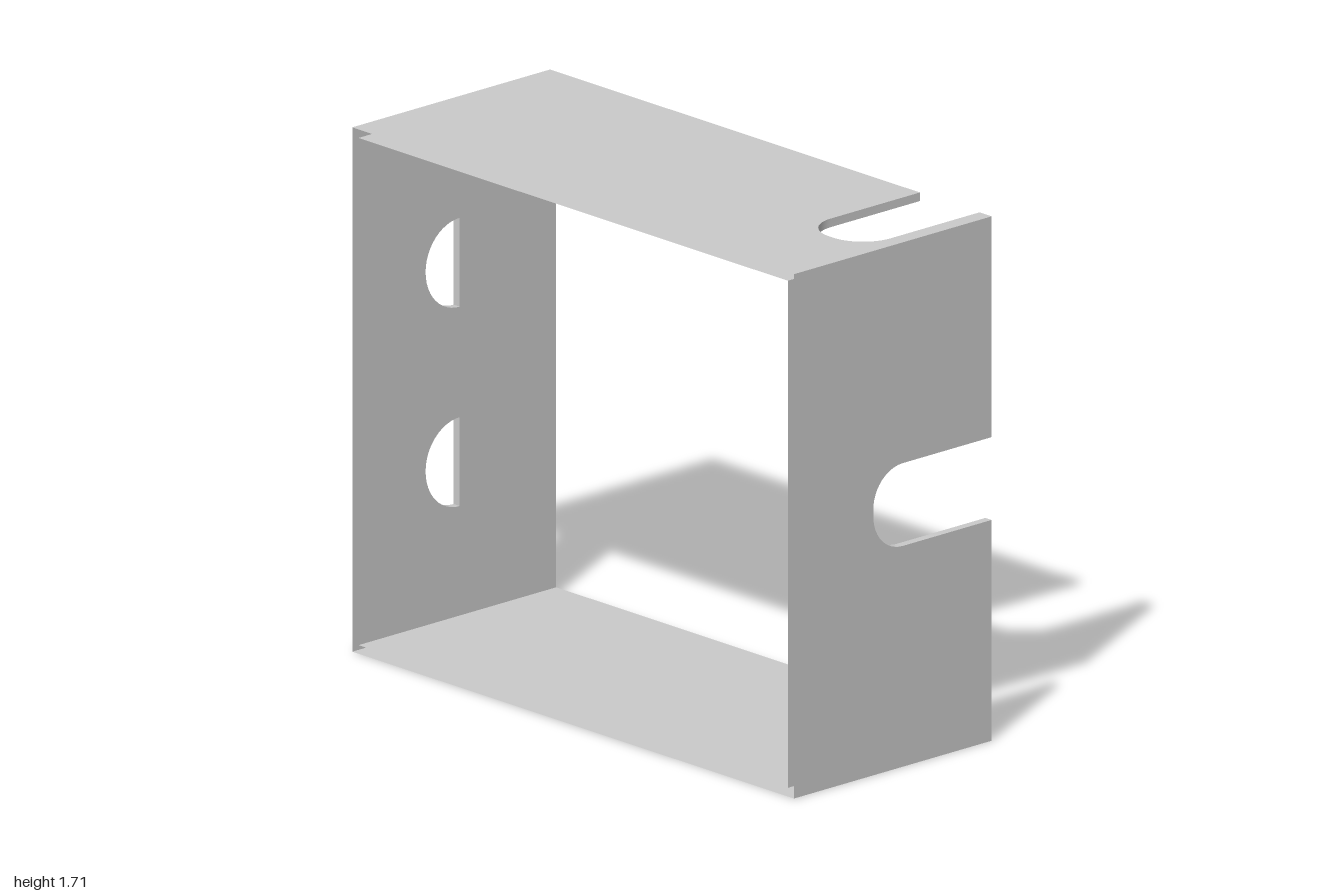
import * as THREE from 'three';
import { mergeGeometries, toCreasedNormals } from 'three/addons/utils/BufferGeometryUtils.js';

const W = 1, H = 1.71, D = 0.42, T = 0.028; // half width, height, half depth, wall gap

const arc = (cu, cw, r, a0, a1, n) => Array.from({ length: n + 1 }, (_, i) => {
  const a = a0 + (a1 - a0) * i / n;
  return new THREE.Vector2(cu + r * Math.cos(a), cw + r * Math.sin(a));
});

// Round-ended slot, open at the back edge
function slotPath(u) {
  const h = 0.135, r = 0.125, end = 0.083;
  return [
    new THREE.Vector2(u - h, -D),
    ...arc(u - h + r, end - r, r, Math.PI, Math.PI / 2, 12),
    ...arc(u + h - r, end - r, r, Math.PI / 2, 0, 12),
    new THREE.Vector2(u + h, -D),
  ];
}

// Half-round hole, flat towards the back
function holePath(u) {
  const p = arc(u, -0.01, 0.145, Math.PI, 0, 24);
  return [...p, p[0].clone()];
}

// One skin of a wall, half length l, at height d along the wall normal
function skin(l, d, slots, holes, flip) {
  const s = new THREE.Shape([
    new THREE.Vector2(-l, -D), ...slots.flat(),
    new THREE.Vector2(l, -D), new THREE.Vector2(l, D), new THREE.Vector2(-l, D),
  ]);
  s.holes = holes.map((h) => new THREE.Path(h.slice(0, -1)));
  const g = new THREE.ShapeGeometry(s);
  if (flip) {
    g.setIndex(Array.from(g.index.array).reverse());
    g.computeVertexNormals();
  }
  g.deleteAttribute('uv');
  return g.translate(0, 0, d).toNonIndexed();
}

// Strip joining the two skins along a cut
function cutWall(path, d) {
  const pos = [];
  for (let i = 0; i < path.length - 1; i++) {
    const a = path[i], b = path[i + 1];
    pos.push(a.x, a.y, d - T, b.x, b.y, d - T, b.x, b.y, d);
    pos.push(a.x, a.y, d - T, b.x, b.y, d, a.x, a.y, d);
  }
  const g = new THREE.BufferGeometry();
  g.setAttribute('position', new THREE.Float32BufferAttribute(pos, 3));
  g.computeVertexNormals();
  return toCreasedNormals(g, 0.6);
}

export function createModel() {
  const group = new THREE.Group();
  const material = new THREE.MeshStandardMaterial({ color: 0xcccccc, side: THREE.DoubleSide });

  // Double-skinned wall, open at the front and back rims
  function addWall(name, uDir, l, d, slots = [], holes = []) {
    const g = mergeGeometries([
      skin(l, d, slots, holes, false),
      skin(l - T, d - T, slots, holes, true),
      ...[...slots, ...holes].map((p) => cutWall(p, d)),
    ]);
    const z = new THREE.Vector3(0, 0, 1);
    g.applyMatrix4(new THREE.Matrix4().makeBasis(uDir, z, uDir.clone().cross(z)));
    const mesh = new THREE.Mesh(g, material);
    mesh.name = name;
    mesh.position.y = H / 2;
    group.add(mesh);
  }

  const V = (x, y) => new THREE.Vector3(x, y, 0);
  addWall('slottedSideWall', V(0, 1), H / 2, W, [slotPath(0)]);
  addWall('piercedSideWall', V(0, -1), H / 2, W, [], [holePath(-0.325), holePath(0.325)]);
  addWall('topWall', V(-1, 0), W, H / 2, [slotPath(-0.81)]);
  addWall('bottomWall', V(1, 0), W, H / 2);
  return group;
}
